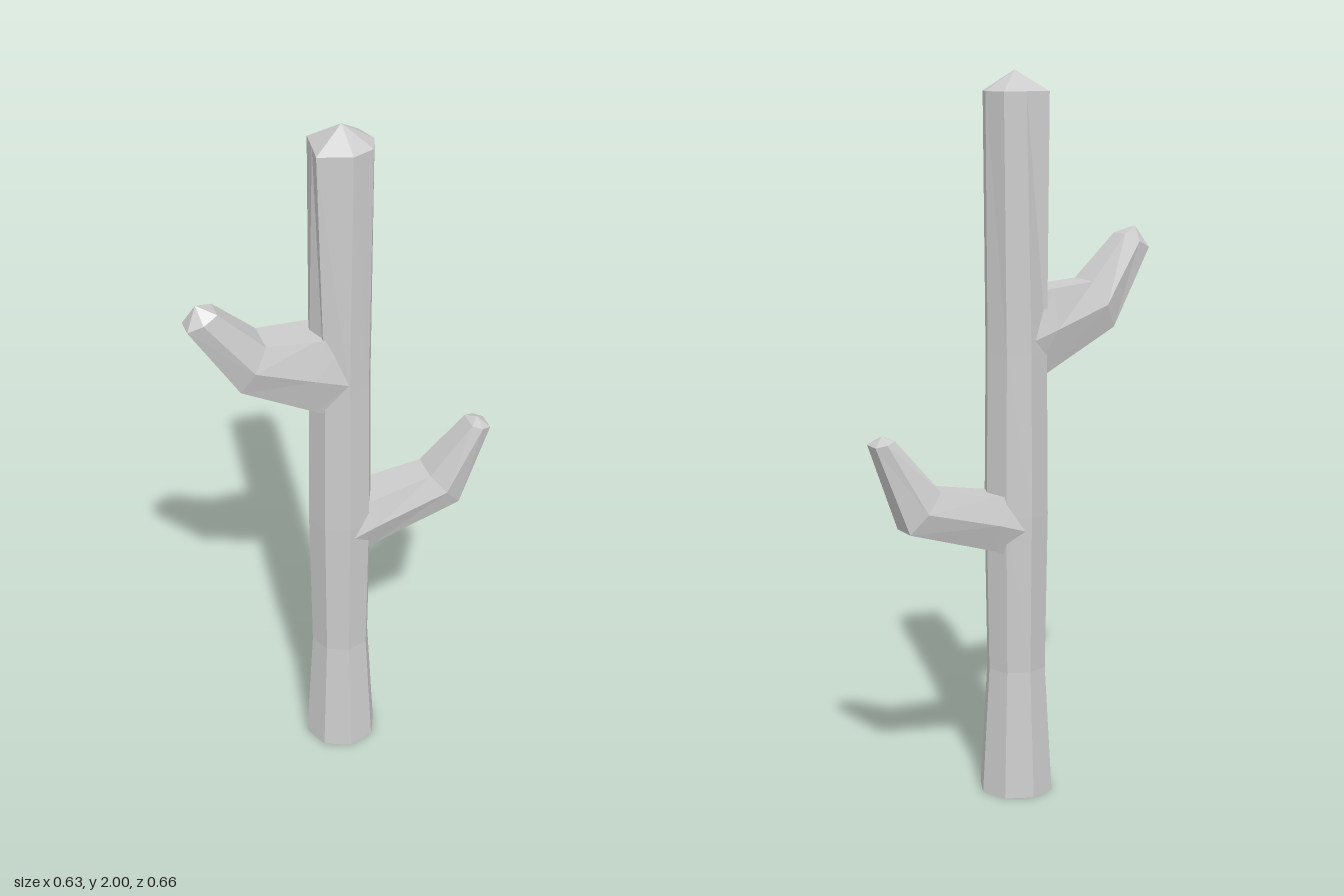
import * as THREE from 'three';

const material = new THREE.MeshStandardMaterial({
  color: 0xcccccc, flatShading: true,
});

// Skins a list of equal-length rings with flat faces; a one-point ring closes an end
function loft(name, rings) {
  const sides = Math.max(...rings.map((r) => r.length));
  const at = (ring, k) => new THREE.Vector3(...ring[k % ring.length]);
  const pos = [];
  const face = (a, b, c) => {
    if (new THREE.Triangle(a, b, c).getArea() < 1e-8) return;
    for (const p of [a, b, c]) pos.push(p.x, p.y, p.z);
  };
  for (let i = 0; i < rings.length - 1; i++) {
    for (let k = 0; k < sides; k++) {
      const a = at(rings[i], k), b = at(rings[i], k + 1);
      const c = at(rings[i + 1], k + 1), d = at(rings[i + 1], k);
      face(a, d, c);
      face(a, c, b);
    }
  }
  const geometry = new THREE.BufferGeometry();
  geometry.setAttribute('position', new THREE.Float32BufferAttribute(pos, 3));
  geometry.computeVertexNormals();
  const mesh = new THREE.Mesh(geometry, material);
  mesh.name = name;
  return mesh;
}

// Trunk axis
const CX = -0.02, CZ = -0.02;

function octagon(y, r) {
  return Array.from({ length: 8 }, (_, k) => {
    const a = (k * Math.PI) / 4;
    return [CX + r * Math.cos(a), y, CZ + r * Math.sin(a)];
  });
}

function createTrunk() {
  // uneven top ring: two of the eight corners are flattened away
  const crown = [
    [0.07, -0.03], [0.047, 0.035], [-0.035, 0.077], [-0.072, 0.029],
    [-0.112, -0.02], [-0.063, -0.068], [-0.015, -0.115], [0.045, -0.085],
  ].map(([x, z]) => [x, 1.945, z]);
  return loft('trunk', [
    [[CX, 0, CZ]],
    octagon(0, 0.105),
    octagon(0.36, 0.084),
    octagon(0.8, 0.091),
    octagon(1.25, 0.087),
    crown,
    [[-0.015, 2, CZ]],
  ]);
}

// Six-sided arm section: top and bottom edge given as [reach, height], half width w
function armRing({ top, bottom, w, t }) {
  const mid = [(top[0] + bottom[0]) / 2, (top[1] + bottom[1]) / 2];
  return [
    [...top, t + w * 0.72], [...top, t - w * 0.72], [...mid, t - w],
    [...bottom, t - w * 0.65], [...bottom, t + w * 0.65], [...mid, t + w],
  ];
}

function createArm(name, angle, sections, tip) {
  const arm = loft(name, [...sections.map(armRing), [tip]]);
  arm.rotation.y = angle;
  return arm;
}

export function createModel() {
  const group = new THREE.Group();
  group.name = 'cactus';
  group.add(createTrunk());

  // high arm, towards front right
  group.add(createArm('upperArm', Math.PI * 1.25, [
    { top: [0, 1.41], bottom: [0, 1.15], w: 0.083, t: 0.025 },
    { top: [0.09, 1.42], bottom: [0.09, 1.2], w: 0.08, t: 0.022 },
    { top: [0.22, 1.43], bottom: [0.29, 1.3], w: 0.07, t: 0.015 },
    { top: [0.345, 1.55], bottom: [0.425, 1.51], w: 0.042, t: -0.005 },
  ], [0.395, 1.57, -0.005]));

  // low arm, towards back left
  group.add(createArm('lowerArm', Math.PI * 0.25, [
    { top: [0, 0.85], bottom: [0, 0.67], w: 0.085, t: -0.028 },
    { top: [0.09, 0.865], bottom: [0.09, 0.71], w: 0.078, t: -0.03 },
    { top: [0.255, 0.895], bottom: [0.345, 0.785], w: 0.062, t: -0.035 },
    { top: [0.375, 1.04], bottom: [0.43, 1.025], w: 0.042, t: -0.02 },
  ], [0.4, 1.05, -0.02]));

  return group;
}
